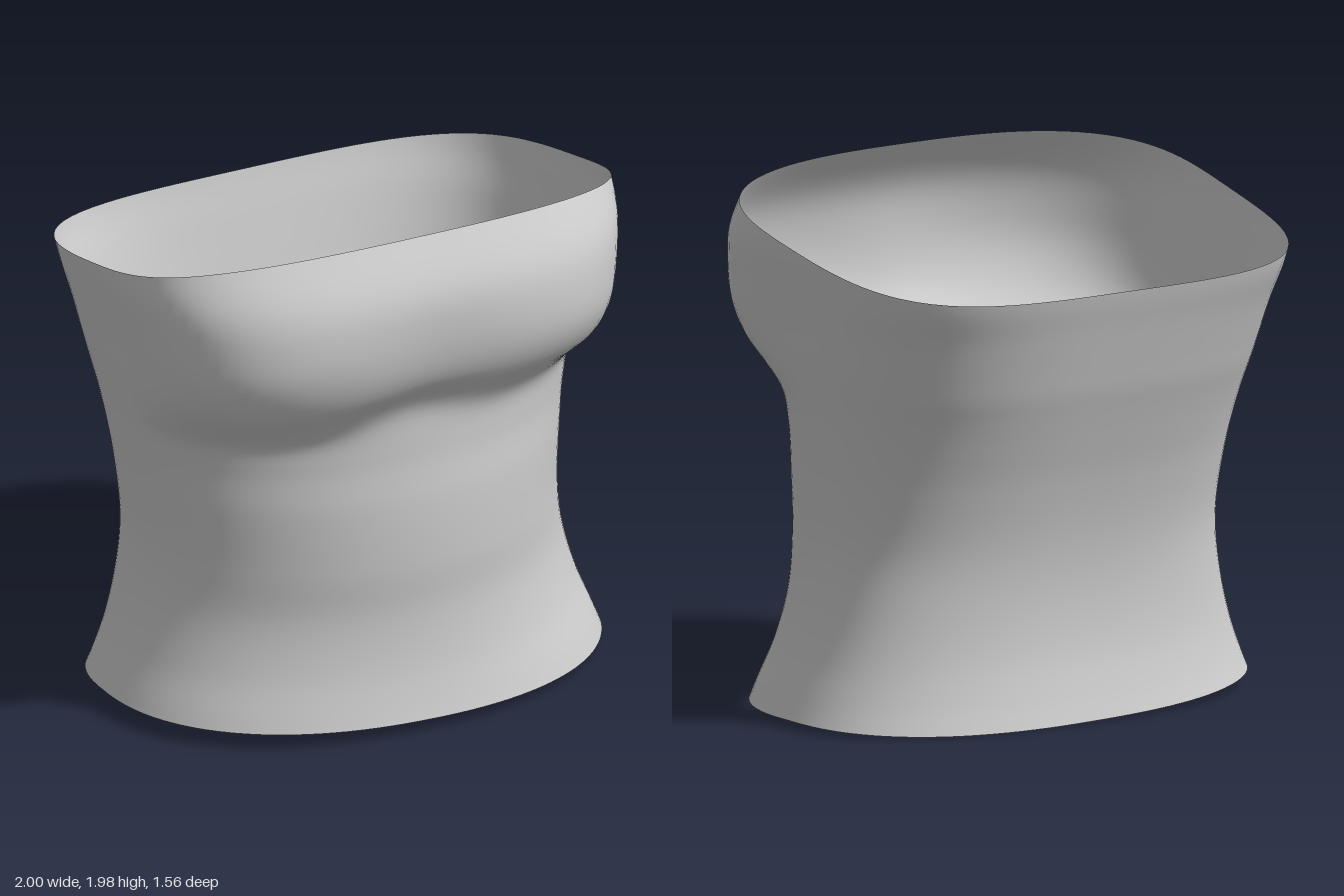
import * as THREE from 'three';

// Body sections by height: y, half width, front depth, back depth, front squareness, back squareness
const SECTIONS = [
  [0.00, 1.010, 0.755, 0.597, 2.2, 2.4],
  [0.10, 0.970, 0.720, 0.560, 2.2, 2.4],
  [0.25, 0.913, 0.680, 0.517, 2.1, 2.5],
  [0.45, 0.862, 0.656, 0.496, 2.0, 2.6],
  [0.65, 0.838, 0.660, 0.508, 2.0, 2.6],
  [0.90, 0.850, 0.648, 0.560, 2.0, 2.7],
  [1.08, 0.872, 0.625, 0.615, 2.0, 2.8],
  [1.18, 0.887, 0.625, 0.648, 2.1, 2.9],
  [1.26, 0.902, 0.660, 0.675, 2.5, 3.0],
  [1.36, 0.922, 0.725, 0.703, 3.0, 3.1],
  [1.50, 0.945, 0.775, 0.742, 3.3, 3.3],
  [1.64, 0.970, 0.785, 0.783, 3.2, 3.6],
  [1.80, 0.998, 0.750, 0.815, 3.0, 3.6],
  [2.00, 1.000, 0.615, 0.840, 2.7, 3.6],
];
const ROWS = 72, COLS = 112;

const profile = new THREE.CubicInterpolant(
  SECTIONS.map((s) => s[0]), SECTIONS.flatMap((s) => s.slice(1)), 5, new Float32Array(5));

const gauss = (d, w) => Math.exp(-((d / w) ** 2));

// Slanted upper rim and slightly dipping hem
const topEdge = (z) => 1.815 + 0.238 * z + 0.036 * z * z;
const hemEdge = (x, z) => 0.05 - 0.02 * x - 0.045 * Math.max(0, -z / 0.6) ** 1.5;

// Point of the cross-section at height y in direction a
function sectionPoint(a, y) {
  const c = Math.cos(a), s = Math.sin(a);
  const [w, , back, , nBack] = profile.evaluate(y);
  if (s < 0) {
    const r = (Math.abs(c) ** nBack + Math.abs(s) ** nBack) ** (-1 / nBack);
    return [w * c * r, back * s * r];
  }
  // The fold under the bust sits higher at the centre and on the left side
  const lift = (0.08 * gauss(c, 0.3) + 0.04 * THREE.MathUtils.smoothstep(c, 0, 0.6)) * gauss(y - 1.27, 0.16);
  const [, front, , n] = profile.evaluate(y - lift);
  const r = (Math.abs(c) ** n + s ** n) ** (-1 / n);
  const hollow = 0.022 * gauss(c, 0.3) * gauss(y - 1.55, 0.2);
  return [w * c * r, front * s * r - hollow];
}

function garmentGeometry() {
  const pos = [], index = [];
  for (let i = 0; i <= ROWS; i++) {
    for (let j = 0; j < COLS; j++) {
      const a = (j / COLS) * Math.PI * 2;
      let x = Math.cos(a), z = 0.6 * Math.sin(a), y = 0;
      // Settle the height, as the rims depend on the point's own depth
      for (let k = 0; k < 8; k++) {
        y = THREE.MathUtils.lerp(hemEdge(x, z), topEdge(z), i / ROWS);
        [x, z] = sectionPoint(a, y);
      }
      pos.push(x, y, z);
      if (i < ROWS) {
        const p = i * COLS + j, q = i * COLS + ((j + 1) % COLS);
        index.push(p, p + COLS, q, q, p + COLS, q + COLS);
      }
    }
  }
  const g = new THREE.BufferGeometry();
  g.setAttribute('position', new THREE.Float32BufferAttribute(pos, 3));
  g.setIndex(index);
  g.computeVertexNormals();
  return g;
}

export function createModel() {
  const group = new THREE.Group();
  group.name = 'strapless top';
  const material = new THREE.MeshStandardMaterial({ color: 0xcccccc, side: THREE.DoubleSide });
  const body = new THREE.Mesh(garmentGeometry(), material);
  body.name = 'fabricBody';
  group.add(body);
  return group;
}
